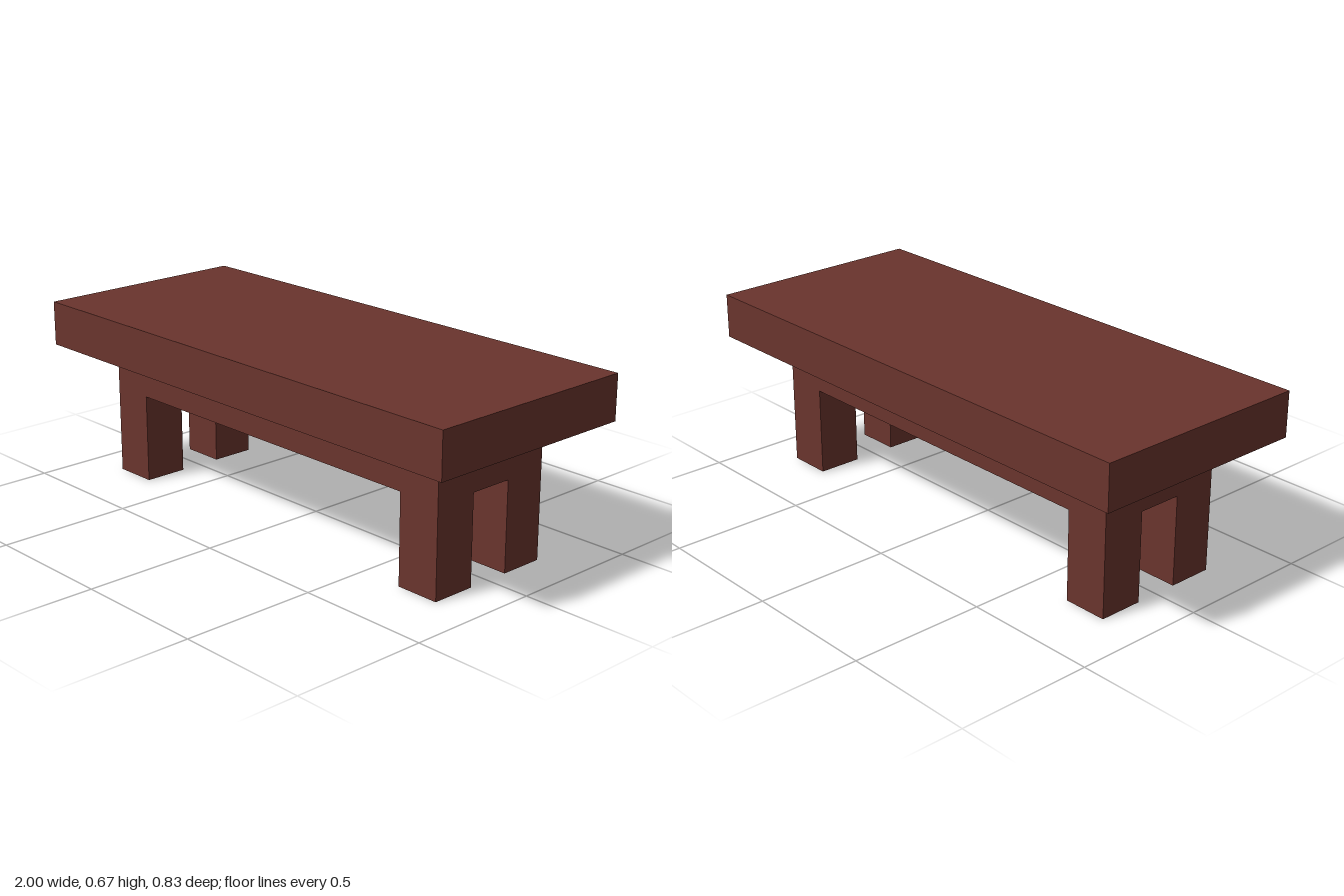
import * as THREE from 'three';

export function createModel() {
  const model = new THREE.Group();
  model.name = 'bench';
  const wood = new THREE.MeshStandardMaterial({ color: 0x6a342d });
  wood.name = 'dark red wood';

  // The whole bench sits on a grid of one twelfth of its length
  const U = 1 / 6;
  const addBox = (name, w, h, d, x, bottom, z) => {
    const mesh = new THREE.Mesh(new THREE.BoxGeometry(w * U, h * U, d * U), wood);
    mesh.name = name;
    mesh.position.set(x * U, (bottom + h / 2) * U, z * U);
    model.add(mesh);
  };

  // Thick top slab and the solid block beneath it
  addBox('top', 12, 1, 5, 0, 3, 0);
  addBox('apron', 10, 1, 3, 0, 2, 0);

  // Four square legs flush with the apron corners
  for (const [sideX, xName] of [[1, 'Left'], [-1, 'Right']]) {
    for (const [sideZ, zName] of [[1, 'front'], [-1, 'back']]) {
      addBox(`${zName}${xName}Leg`, 1, 2, 1, sideX * 4.5, 0, sideZ);
    }
  }
  return model;
}
